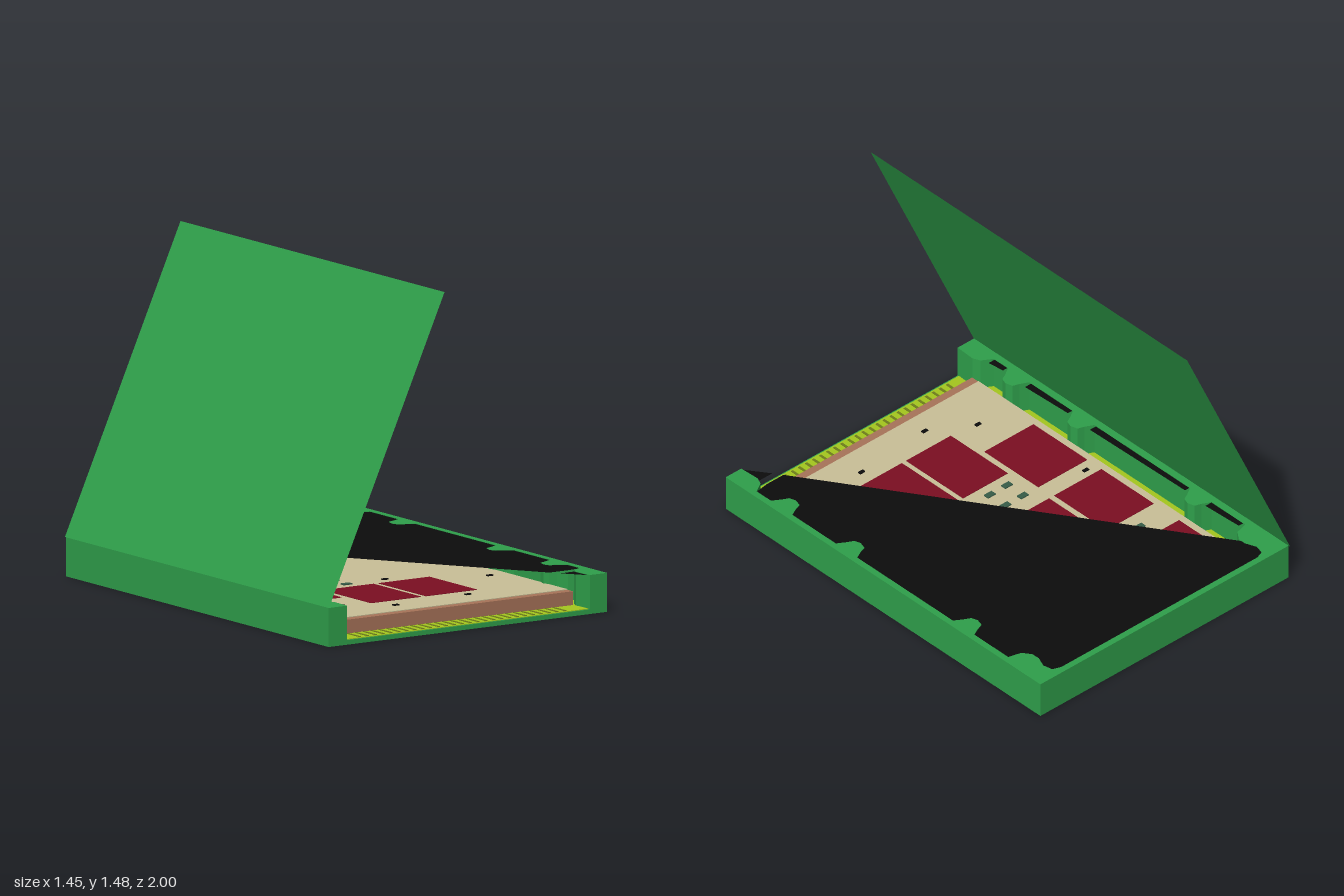
import * as THREE from 'three';

const mat = (name, color, side = THREE.FrontSide) => {
  const m = new THREE.MeshStandardMaterial({ color, side });
  m.name = name;
  return m;
};

// Flat outline given as [x, z] pairs
const outline = (pts) => new THREE.Shape(pts.map(([x, z]) => new THREE.Vector2(x, -z)));

export function createModel() {
  const green = mat('case green', 0x2fa04b);
  const lidGreen = mat('lid green', 0x2fa04b, THREE.DoubleSide);
  const black = mat('film black', 0x0c0c0c, THREE.DoubleSide);
  const cream = mat('board cream', 0xcac098);
  const red = mat('chip red', 0x7c0e22);
  const brown = mat('board brown', 0xa87459);
  const lime = mat('floor lime', 0xa5c81e);
  const olive = mat('contact olive', 0x6f7f1a);
  const slate = mat('component slate green', 0x365c48);

  const group = new THREE.Group();
  const add = (name, geo, material) => {
    const mesh = new THREE.Mesh(geo, material);
    mesh.name = name;
    group.add(mesh);
    return mesh;
  };
  // Box from its x, y and z limits
  const box = (name, material, x0, x1, y0, y1, z0, z1) => {
    const geo = new THREE.BoxGeometry(x1 - x0, y1 - y0, z1 - z0);
    geo.translate((x0 + x1) / 2, (y0 + y1) / 2, (z0 + z1) / 2);
    return add(name, geo, material);
  };

  const TOP = 0.17;

  // Tray floor
  box('trayFloor', green, -0.725, 0.72, 0, 0.02, -0.99, 0.998);
  box('floorSheet', lime, -0.7, 0.7, 0.02, 0.023, -0.97, 0.99);

  // Scalloped inner edge of one side wall, from back to front
  const inner = [[0.57, -0.96], [0.61, -0.945], [0.62, -0.9], [0.6, -0.85], [0.6, -0.81], [0.63, -0.77], [0.69, -0.755]];
  for (const z of [-0.475, 0.265, 0.675]) {
    inner.push([0.69, z - 0.065], [0.65, z - 0.045], [0.62, z - 0.035], [0.61, z],
      [0.62, z + 0.03], [0.65, z + 0.045], [0.69, z + 0.07]);
  }
  inner.push([0.69, 0.835], [0.64, 0.865], [0.625, 0.9]);
  const mirrored = inner.map(([x, z]) => [-x, z]);

  // U-shaped wall, open at the front
  const wall = outline([
    [-0.725, 0.998], [-0.63, 0.998], ...mirrored.slice().reverse(),
    ...inner, [0.63, 0.998], [0.72, 0.998], [0.72, -0.99], [-0.725, -0.99],
  ]);
  const wallGeo = new THREE.ExtrudeGeometry(wall, { depth: TOP - 0.02, bevelEnabled: false });
  wallGeo.rotateX(-Math.PI / 2).translate(0, 0.02, 0);
  add('trayWall', wallGeo, green);

  // Black film over the back right half, and slivers in the left pockets
  const film = [
    outline([[-0.69, -0.96], [0.56, -0.962], ...inner.slice(0, -2), [0.62, 0.845], [0.526, 0.845]]),
    outline([[0.553, 0.885], [0.625, 0.885], [0.63, 0.99]]),
    ...[[-0.74, -0.54], [-0.4, 0.19], [0.34, 0.6], [0.75, 0.83]].map(([a, b]) =>
      outline([[-0.69, a], [-0.665, a], [-0.655, b], [-0.69, b]])),
  ];
  const filmGeo = new THREE.ShapeGeometry(film);
  filmGeo.rotateX(-Math.PI / 2).translate(0, TOP - 0.002, 0);
  add('coverFilm', filmGeo, black);

  // Open lid, hinged along the left edge of the front view
  const lidGeo = new THREE.PlaneGeometry(Math.hypot(0.6, 1.313), 2);
  lidGeo.rotateX(-Math.PI / 2).rotateZ(Math.atan2(1.313, 0.6));
  lidGeo.translate(-0.425, TOP + 1.313 / 2, 0);
  add('lid', lidGeo, lidGreen);

  // Circuit board with a pale top plate
  box('boardBase', brown, -0.61, 0.62, 0.023, 0.083, -0.9, 0.885);
  box('boardTop', cream, -0.61, 0.62, 0.083, 0.086, -0.9, 0.845);

  // Memory chips: x0, x1, z0, z1
  const chips = [
    [0.025, 0.29, 0.28, 0.64], [-0.26, 0, 0.28, 0.64], [-0.575, -0.29, 0.12, 0.46],
    [-0.575, -0.3, -0.3, 0.03], [-0.27, -0.02, -0.33, 0.03], [-0.575, -0.3, -0.8, -0.46],
  ];
  for (const [x0, x1, z0, z1] of chips) box('memoryChip', red, x0, x1, 0.086, 0.088, z0, z1);

  // Small components
  for (const [x, z] of [[-0.1, 0.12], [-0.1, 0.22], [-0.2, 0.12], [-0.2, 0.22], [-0.42, -0.38], [-0.35, -0.38]])
    box('smallComponent', slate, x - 0.022, x + 0.022, 0.086, 0.091, z - 0.014, z + 0.014);
  for (const [x, z] of [[0.195, 0.71], [0.1, 0.22], [-0.4, 0.62], [-0.2, 0.74], [-0.52, 0.07], [0.52, 0.4]])
    box('tinyComponent', black, x - 0.014, x + 0.014, 0.086, 0.091, z - 0.008, z + 0.008);

  // Row of edge contacts
  for (let i = 0; i < 27; i++) {
    const x = -0.55 + i * 0.041;
    box('edgeContact', olive, x - 0.006, x + 0.006, 0.023, 0.025, 0.89, 0.98);
  }

  return group;
}
